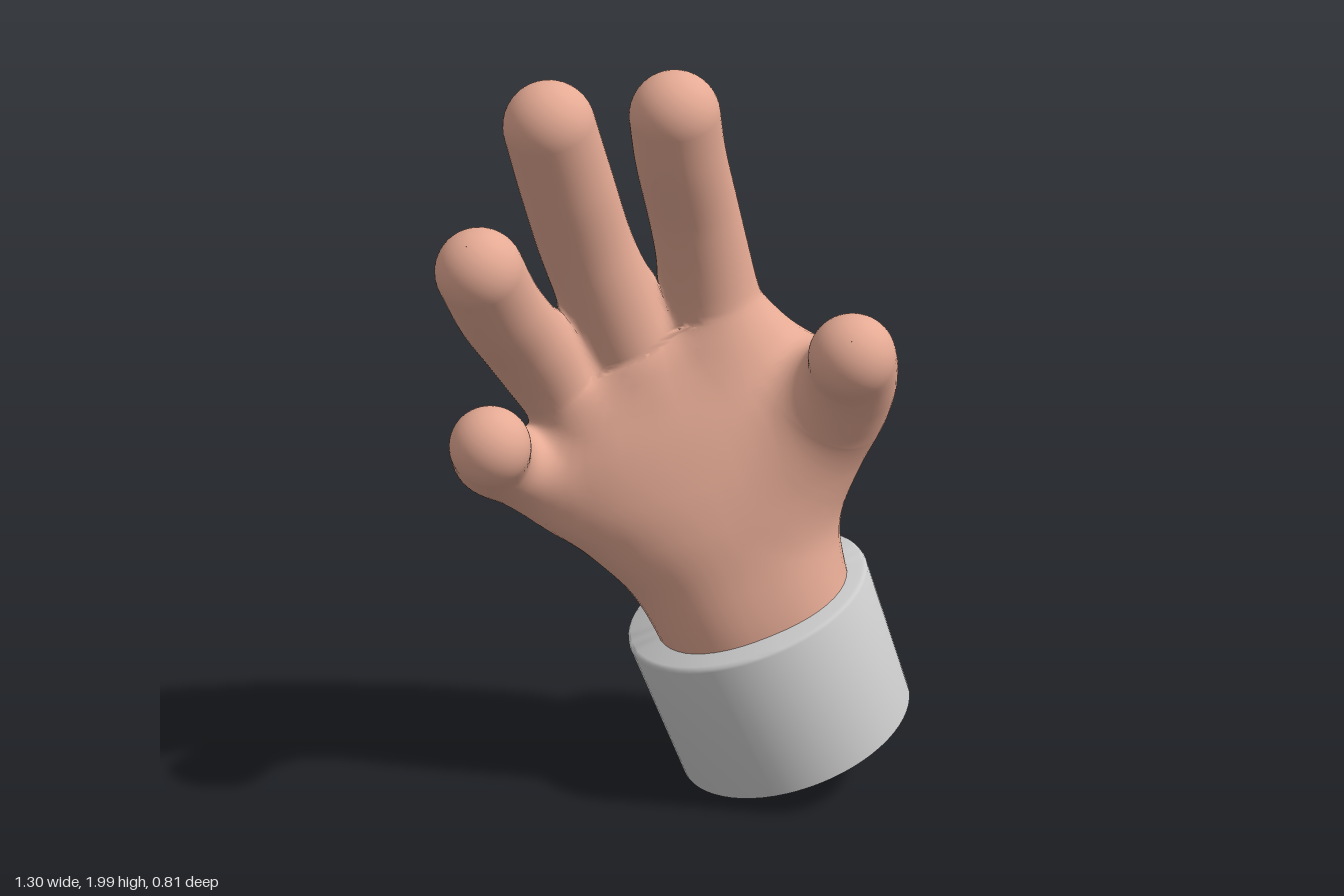
import * as THREE from 'three';
import { toCreasedNormals } from 'three/addons/utils/BufferGeometryUtils.js';

const SIDES = 48;
const skin = new THREE.MeshStandardMaterial({ color: 0xe5aa94 });
const grey = new THREE.MeshStandardMaterial({ color: 0xcccccc });

// Skin over a list of closed rings (counter-clockwise about the travel direction).
function loft(rings) {
  const pos = [], index = [];
  for (const ring of rings) for (const p of ring) pos.push(p.x, p.y, p.z);
  for (let i = 0; i < rings.length - 1; i++) {
    for (let j = 0; j < SIDES; j++) {
      const k = (j + 1) % SIDES;
      const a = i * SIDES + j, b = i * SIDES + k, c = a + SIDES, d = b + SIDES;
      index.push(a, b, c, b, d, c);
    }
  }
  const geo = new THREE.BufferGeometry();
  geo.setAttribute('position', new THREE.Float32BufferAttribute(pos, 3));
  geo.setIndex(index);
  geo.computeVertexNormals();
  return geo;
}

// Tapered finger along points [x, y, z, radius] with a round tip.
// Returns the geometry and a distance function for blending.
function makeFinger(points) {
  const path = new THREE.CatmullRomCurve3(points.map(p => new THREE.Vector3(p[0], p[1], p[2])));
  const radii = new THREE.CatmullRomCurve3(points.map(p => new THREE.Vector3(p[3], 0, 0)));
  const steps = 50, cap = 12, rings = [], spine = [];
  const frames = path.computeFrenetFrames(steps, false);
  const addRing = (centre, i, r) => rings.push(Array.from({ length: SIDES }, (_, j) => {
    const t = j / SIDES * Math.PI * 2;
    return centre.clone().addScaledVector(frames.normals[i], r * Math.cos(t))
      .addScaledVector(frames.binormals[i], r * Math.sin(t));
  }));
  for (let i = 0; i <= steps; i++) {
    const t = path.getUtoTmapping(i / steps), c = path.getPoint(t), r = radii.getPoint(t).x;
    addRing(c, i, r);
    spine.push({ c, r });
  }
  const { c, r } = spine[steps];
  for (let i = 1; i <= cap; i++) {
    const a = i / cap * Math.PI / 2;
    addRing(c.clone().addScaledVector(frames.tangents[steps], r * Math.sin(a)), steps,
      Math.max(r * Math.cos(a), 0.0005));
  }
  const distance = (x, y, z) => {
    let best = Infinity;
    for (let i = 0; i < steps; i++) {
      const a = spine[i], b = spine[i + 1];
      const ex = b.c.x - a.c.x, ey = b.c.y - a.c.y, ez = b.c.z - a.c.z;
      const px = x - a.c.x, py = y - a.c.y, pz = z - a.c.z;
      const t = Math.min(1, Math.max(0, (px * ex + py * ey + pz * ez) / (ex * ex + ey * ey + ez * ez)));
      const dx = px - ex * t, dy = py - ey * t, dz = pz - ez * t;
      best = Math.min(best, Math.sqrt(dx * dx + dy * dy + dz * dz) - a.r - (b.r - a.r) * t);
    }
    return best;
  };
  return { geometry: loft(rings), distance };
}

// Palm sections: left end x, y; right end x, y; front z; back z.
function makePalm() {
  const sections = [
    [0.01, 0.25, 0.51, 0.45, 0.23, -0.29],
    [-0.06, 0.43, 0.45, 0.63, 0.235, -0.29],
    [-0.14, 0.57, 0.43, 0.78, 0.222, -0.275],
    [-0.26, 0.69, 0.445, 0.93, 0.212, -0.258],
    [-0.37, 0.79, 0.465, 1.08, 0.19, -0.24],
    [-0.41, 0.90, 0.41, 1.21, 0.155, -0.225],
    [-0.36, 1.02, 0.28, 1.30, 0.105, -0.20],
    [-0.28, 1.13, 0.17, 1.34, 0.055, -0.17],
    [-0.19, 1.20, 0.06, 1.33, 0.0, -0.125],
    [-0.07, 1.26, -0.06, 1.265, -0.06, -0.07],
  ];
  const curve = f => new THREE.CatmullRomCurve3(sections.map(f));
  const lefts = curve(s => new THREE.Vector3(s[0], s[1], s[4]));
  const rights = curve(s => new THREE.Vector3(s[2], s[3], s[5]));
  const FINE = 320, power = 2.3, rings = [];
  const fine = Array.from({ length: FINE + 1 }, (_, i) => [lefts.getPoint(i / FINE), rights.getPoint(i / FINE)]);
  const soft = v => Math.sign(v) * Math.abs(v) ** (2 / power);
  for (let i = 0; i <= FINE; i += 4) {
    const [l, r] = fine[i];
    rings.push(Array.from({ length: SIDES }, (_, j) => {
      const t = j / SIDES * Math.PI * 2, u = soft(Math.cos(t)), v = soft(Math.sin(t));
      return new THREE.Vector3((l.x + r.x + (r.x - l.x) * u) / 2,
        (l.y + r.y + (r.y - l.y) * u) / 2, (l.z + r.z - (l.z - r.z) * v) / 2);
    }));
  }
  // signed height of a point over a section
  const over = ([l, r], x, y) =>
    ((r.x - l.x) * (y - l.y) - (r.y - l.y) * (x - l.x)) / Math.hypot(r.x - l.x, r.y - l.y);
  const l = new THREE.Vector3(), r = new THREE.Vector3();
  const distance = (x, y, z) => {
    let lo = 0, hi = FINE;
    while (hi - lo > 1) {
      const mid = (lo + hi) >> 1;
      if (over(fine[mid], x, y) > 0) lo = mid; else hi = mid;
    }
    const h0 = over(fine[lo], x, y), h1 = over(fine[hi], x, y);
    const t = THREE.MathUtils.clamp(h0 / (h0 - h1), 0, 1);
    l.lerpVectors(fine[lo][0], fine[hi][0], t);
    r.lerpVectors(fine[lo][1], fine[hi][1], t);
    const wide = Math.hypot(r.x - l.x, r.y - l.y) / 2, deep = (l.z - r.z) / 2;
    const along = ((x - (l.x + r.x) / 2) * (r.x - l.x) + (y - (l.y + r.y) / 2) * (r.y - l.y)) / (2 * wide);
    const u = Math.abs(along / wide), v = Math.abs((z - (l.z + r.z) / 2) / deep);
    const g = Math.max((u ** power + v ** power) ** (1 / power), 0.05);
    const slope = Math.hypot((u / g) ** (power - 1) / wide, (v / g) ** (power - 1) / deep);
    const d = (g - 1) / Math.max(slope, 0.5);
    return h1 > 0 ? Math.hypot(Math.max(d, 0), h1) : d;
  };
  return { geometry: loft(rings), distance };
}

const smoothMin = (a, b, k) => Math.min(a, b) - Math.max(k - Math.abs(a - b), 0) ** 2 / (4 * k);

// Fingers: x, y, z, radius from the root buried in the palm to the tip centre.
const fingers = {
  indexFinger: [[0.15, 1.08, -0.05, 0.11], [0.12, 1.25, -0.055, 0.13], [0.085, 1.40, -0.045, 0.123],
    [0.035, 1.60, 0.008, 0.118], [-0.015, 1.78, 0.09, 0.116], [-0.035, 1.884, 0.134, 0.115]],
  middleFinger: [[-0.03, 1.05, -0.06, 0.11], [-0.14, 1.28, -0.07, 0.127], [-0.235, 1.50, -0.02, 0.122],
    [-0.30, 1.70, 0.06, 0.12], [-0.35, 1.866, 0.134, 0.116]],
  ringFinger: [[-0.13, 0.90, -0.05, 0.11], [-0.25, 1.06, -0.06, 0.12], [-0.34, 1.18, -0.035, 0.116],
    [-0.42, 1.30, 0.045, 0.113], [-0.487, 1.41, 0.145, 0.112], [-0.54, 1.53, 0.243, 0.111]],
  littleFinger: [[-0.14, 0.84, -0.04, 0.10], [-0.31, 0.89, -0.045, 0.108], [-0.425, 0.938, 0.01, 0.104],
    [-0.503, 1.0, 0.11, 0.102], [-0.523, 1.073, 0.235, 0.104]],
  thumb: [[0.25, 0.86, 0.02, 0.13], [0.33, 0.99, 0.045, 0.148], [0.384, 1.09, 0.095, 0.144],
    [0.41, 1.18, 0.172, 0.127], [0.408, 1.245, 0.24, 0.116], [0.395, 1.284, 0.292, 0.112]],
};

export function createModel() {
  const model = new THREE.Group();
  const add = (name, geometry, material) => {
    const mesh = new THREE.Mesh(geometry, material);
    mesh.name = name;
    model.add(mesh);
    return mesh;
  };

  // Hand: every part is drawn onto one shared, softly blended surface
  const palm = makePalm();
  const digits = Object.entries(fingers).map(([name, points]) => ({ name, ...makeFinger(points) }));
  const field = (x, y, z) => smoothMin(palm.distance(x, y, z),
    digits.reduce((d, f) => smoothMin(d, f.distance(x, y, z), 0.05), 9), 0.11);
  const E = 0.004, p = new THREE.Vector3(), g = new THREE.Vector3();
  const gradient = () => g.set(
    field(p.x + E, p.y, p.z) - field(p.x - E, p.y, p.z),
    field(p.x, p.y + E, p.z) - field(p.x, p.y - E, p.z),
    field(p.x, p.y, p.z + E) - field(p.x, p.y, p.z - E)).divideScalar(2 * E);
  for (const part of [{ name: 'palm', ...palm }, ...digits]) {
    const { position, normal } = part.geometry.attributes;
    const others = [palm, ...digits].filter(o => o.distance !== part.distance);
    for (let i = 0; i < position.count; i++) {
      p.fromBufferAttribute(position, i);
      if (others.some(o => o.distance(p.x, p.y, p.z) < -0.03)) continue; // buried
      for (let pass = 0; pass < 4; pass++) {
        const d = field(p.x, p.y, p.z);
        gradient();
        p.addScaledVector(g, -THREE.MathUtils.clamp(d / Math.max(g.lengthSq(), 0.3), -0.03, 0.03));
      }
      gradient().normalize();
      position.setXYZ(i, p.x, p.y, p.z);
      normal.setXYZ(i, g.x, g.y, g.z);
    }
    add(part.name, part.geometry, skin);
  }

  // Cuff: a tilted, slightly flared drum with a softened rim
  const profile = [[0, 0], [0.334, 0], [0.344, 0.414], [0.341, 0.422], [0.332, 0.427], [0, 0.425]];
  const lathe = new THREE.LatheGeometry(profile.map(p => new THREE.Vector2(...p)), 64);
  const cuff = add('cuff', toCreasedNormals(lathe, 0.9), grey);
  cuff.position.set(0.331, 0.121, -0.058);
  cuff.scale.z = 1.03;
  cuff.quaternion.setFromUnitVectors(new THREE.Vector3(0, 1, 0), new THREE.Vector3(-0.145, 0.395, 0.024).normalize());

  return model;
}
